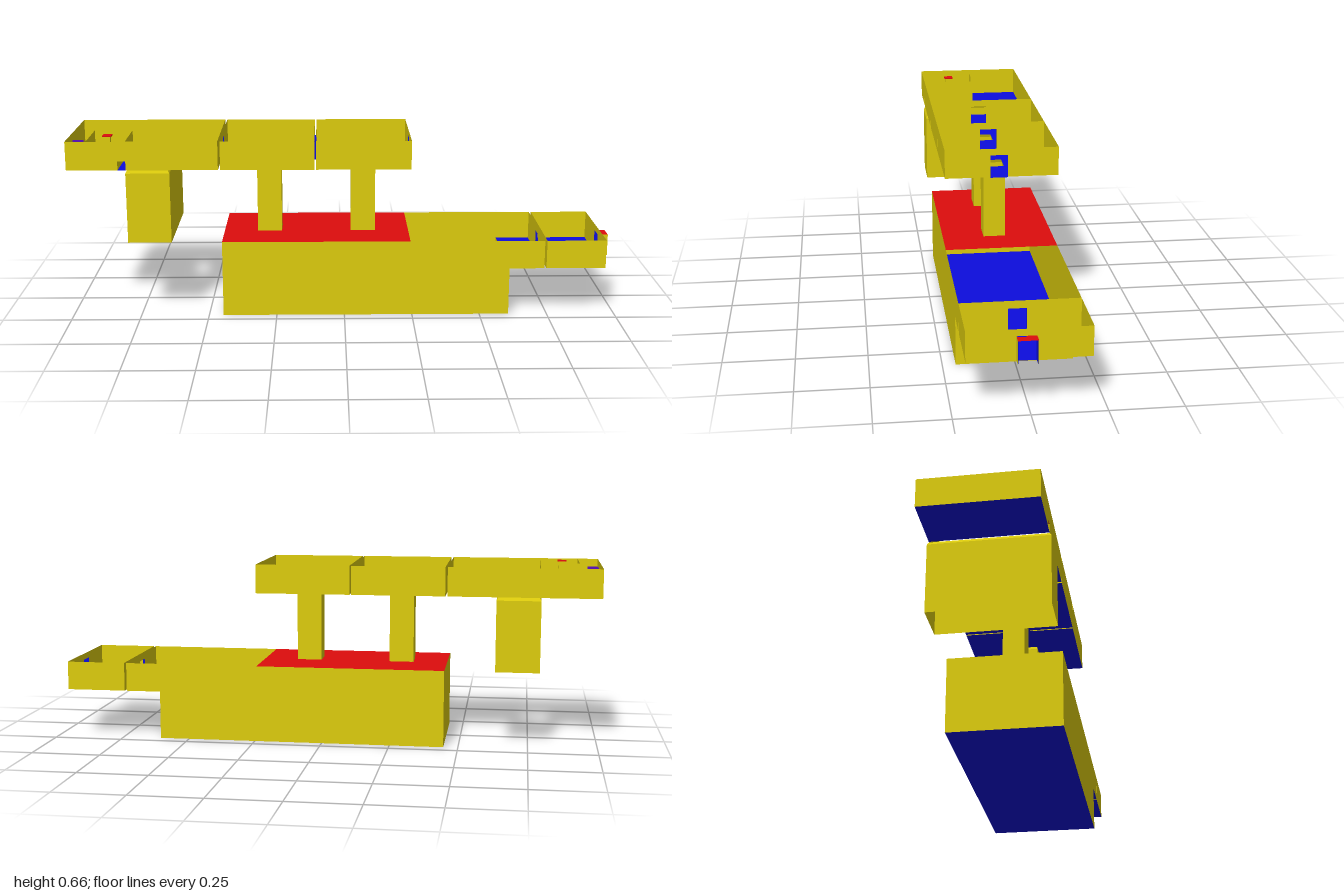
import * as THREE from 'three';

const mat = (color) => new THREE.MeshStandardMaterial({ color, side: THREE.DoubleSide, flatShading: true });
const YELLOW = mat(0xddcc0d), BLUE = mat(0x0d0ddd), RED = mat(0xdd0d0d), PURPLE = mat(0x5a0dc0);

const Z = 0.204;                 // half depth of the building
const DOOR = [-0.021, 0.041];    // door opening along z
const DOOR_H = 0.081;
const UP = 0.551, LOW = 0.176;   // floor heights
const WALL_H = 0.105;
const ROOF = LOW + WALL_H;

export function createModel() {
  const model = new THREE.Group();

  const add = (name, geometry, material, parent = model) => {
    const mesh = new THREE.Mesh(geometry, material);
    mesh.name = name;
    parent.add(mesh);
    return mesh;
  };
  const outline = (points, holes = []) => {
    const shape = new THREE.Shape(points.map(([a, b]) => new THREE.Vector2(a, b)));
    for (const h of holes) shape.holes.push(new THREE.Path(h.map(([a, b]) => new THREE.Vector2(a, b))));
    return new THREE.ShapeGeometry(shape);
  };
  const rect = (a0, a1, b0, b1) => [[a0, b0], [a1, b0], [a1, b1], [a0, b1]];

  // Horizontal sheet at height y, with optional openings
  const slab = (name, m, y, x0, x1, z0 = -Z, z1 = Z, holes = []) =>
    add(name, outline(rect(x0, x1, z0, z1), holes).rotateX(Math.PI / 2).translate(0, y, 0), m);
  // Wall running along x
  const longWall = (name, m, z, x0, x1, y0, y1) =>
    add(name, outline(rect(x0, x1, y0, y1)).translate(0, 0, z), m);
  // Wall running along z
  const crossWall = (name, m, x, z0, z1, y0, y1) =>
    add(name, outline(rect(z0, z1, y0, y1)).rotateY(-Math.PI / 2).translate(x, 0, 0), m);
  // Cross wall with a door notch cut from its foot
  const doorWall = (x, y) => {
    const [a, b] = DOOR;
    add('doorWall', outline([[-Z, y], [a, y], [a, y + DOOR_H], [b, y + DOOR_H], [b, y], [Z, y],
      [Z, y + WALL_H], [-Z, y + WALL_H]]).rotateY(-Math.PI / 2).translate(x, 0, 0), YELLOW);
  };
  // Lining of a doorway between two wall faces
  const doorFrame = (x0, x1, y) => {
    for (const z of DOOR) longWall('doorJamb', BLUE, z, x0, x1, y, y + DOOR_H);
    slab('doorHead', BLUE, y + DOOR_H, x0, x1, ...DOOR);
    slab('doorSill', BLUE, y, x0, x1, ...DOOR);
  };
  const sideWalls = (x0, x1, y0, y1) => {
    for (const s of [-1, 1]) longWall('sideWall', YELLOW, s * Z, x0, x1, y0, y1);
  };

  // Open four-sided shaft whose mouth narrows into the floor above
  const shaft = (name, x0, x1, z0, z1, inset) => {
    const rings = [[0.282, 0], [0.54, 0], [UP, inset]];
    const pos = [], idx = [];
    for (const [y, i] of rings)
      for (const [x, z] of rect(x0 + i, x1 - i, z0 + i, z1 - i)) pos.push(x, y, z);
    for (let r = 0; r < 2; r++) for (let k = 0; k < 4; k++) {
      const a = r * 4 + k, b = r * 4 + (k + 1) % 4;
      idx.push(a, a + 4, b, b, a + 4, b + 4);
    }
    const g = new THREE.BufferGeometry();
    g.setAttribute('position', new THREE.Float32BufferAttribute(pos, 3));
    g.setIndex(idx);
    const flat = g.toNonIndexed();
    flat.computeVertexNormals();
    add(name, flat, YELLOW);
  };

  // Lift shafts joining both storeys, and the wide open shaft
  const lifts = [[-0.322, -0.232], [0.026, 0.117]];
  const liftHole = ([a, b]) => rect(a + 0.004, b - 0.004, -0.023, 0.049);
  for (const [a, b] of lifts) shaft('liftShaft', a, b, -0.027, 0.053, 0.004);
  shaft('wideShaft', -0.787, -0.629, -0.21, 0.21, 0.006);

  // Lower hall: deep, half covered by a roof
  slab('hallFloor', BLUE, 0, -0.447, 0.608);
  sideWalls(-0.447, 0.608, 0, ROOF);
  crossWall('hallEndWall', YELLOW, -0.447, -Z, Z, 0, ROOF);
  crossWall('hallStepWall', YELLOW, 0.608, -Z, Z, 0, LOW);
  slab('hallRoof', RED, ROOF, -0.447, 0.242, -Z, Z, lifts.map(liftHole));

  // Landing and entrance room
  slab('landingFloor', BLUE, LOW, 0.608, 0.736);
  sideWalls(0.608, 0.736, LOW, ROOF);
  doorWall(0.736, LOW);
  doorFrame(0.736, 0.744, LOW);
  doorWall(0.744, LOW);
  slab('entranceFloor', BLUE, LOW, 0.744, 0.962);
  sideWalls(0.744, 0.962, LOW, ROOF);
  doorWall(0.962, LOW);
  doorFrame(0.962, 0.969, LOW);

  // Porch: roof and cheeks, blue within
  slab('porchRoof', RED, LOW + DOOR_H, 0.962, 1, DOOR[0] - 0.002, DOOR[1] + 0.002);
  DOOR.forEach((z, i) => {
    const out = i ? 0.002 : -0.002;
    longWall('porchCheek', YELLOW, z + out, 0.962, 1, LOW, LOW + DOOR_H);
    longWall('porchLining', BLUE, z, 0.969, 1, LOW, LOW + DOOR_H);
  });

  // Upper storey: open-topped rooms in a row
  const top = UP + WALL_H;
  slab('upperFloor', BLUE, UP, -0.629, -0.455);
  sideWalls(-0.785, -0.455, UP, top);
  doorWall(-0.455, UP);
  doorFrame(-0.455, -0.447, UP);
  [[-0.447, -0.108], [-0.102, 0.242]].forEach(([x0, x1], i) => {
    slab('upperFloor', BLUE, UP, x0, x1, -Z, Z, [liftHole(lifts[i])]);
    sideWalls(x0, x1, UP, top);
    doorWall(x0, UP);
    doorWall(x1, UP);
    doorFrame(x1, x1 + 0.007, UP);
  });

  // End room, with a duct opening cut in its front wall
  const DX = [-0.815, -0.786], DH = UP + 0.033;
  slab('endRoomFloor', BLUE, UP, -1, -0.785);
  longWall('endRoomBackWall', YELLOW, -Z, -1, -0.785, UP, top);
  add('endRoomFrontWall', outline([[-1, UP], [DX[0], UP], [DX[0], DH], [DX[1], DH], [DX[1], UP],
    [-0.785, UP], [-0.785, top], [-1, top]]).translate(0, 0, Z), YELLOW);
  crossWall('endWall', YELLOW, -1, -Z, Z, UP, top);
  crossWall('partition', YELLOW, -0.785, 0, Z, UP, top);
  crossWall('partition', YELLOW, -0.925, 0, Z, UP, top);
  longWall('partition', YELLOW, 0, -0.925, -0.86, UP, top);

  // Crawl duct
  slab('ductRoof', RED, DH, ...DX, 0, Z);
  for (const x of DX) crossWall('ductSide', YELLOW, x, 0, Z, UP, DH);

  // Stalls with a seat in each
  for (let i = 0; i < 4; i++) {
    const z = 0.024 + i * 0.051;
    add('stallSeat', new THREE.BoxGeometry(0.03, 0.035, 0.014).translate(-0.984, UP + 0.018, z), PURPLE);
    slab('seatLid', RED, UP + 0.037, -0.999, -0.969, z - 0.007, z + 0.007);
    if (i) longWall('stallDivider', PURPLE, z - 0.0255, -1, -0.96, UP, UP + 0.08);
  }

  // Capped post
  add('post', new THREE.BoxGeometry(0.022, 0.1, 0.022).translate(-0.863, UP + 0.052, 0.097), YELLOW);
  add('postCap', new THREE.BoxGeometry(0.033, 0.004, 0.034).translate(-0.863, 0.657, 0.097), RED);

  return model;
}
